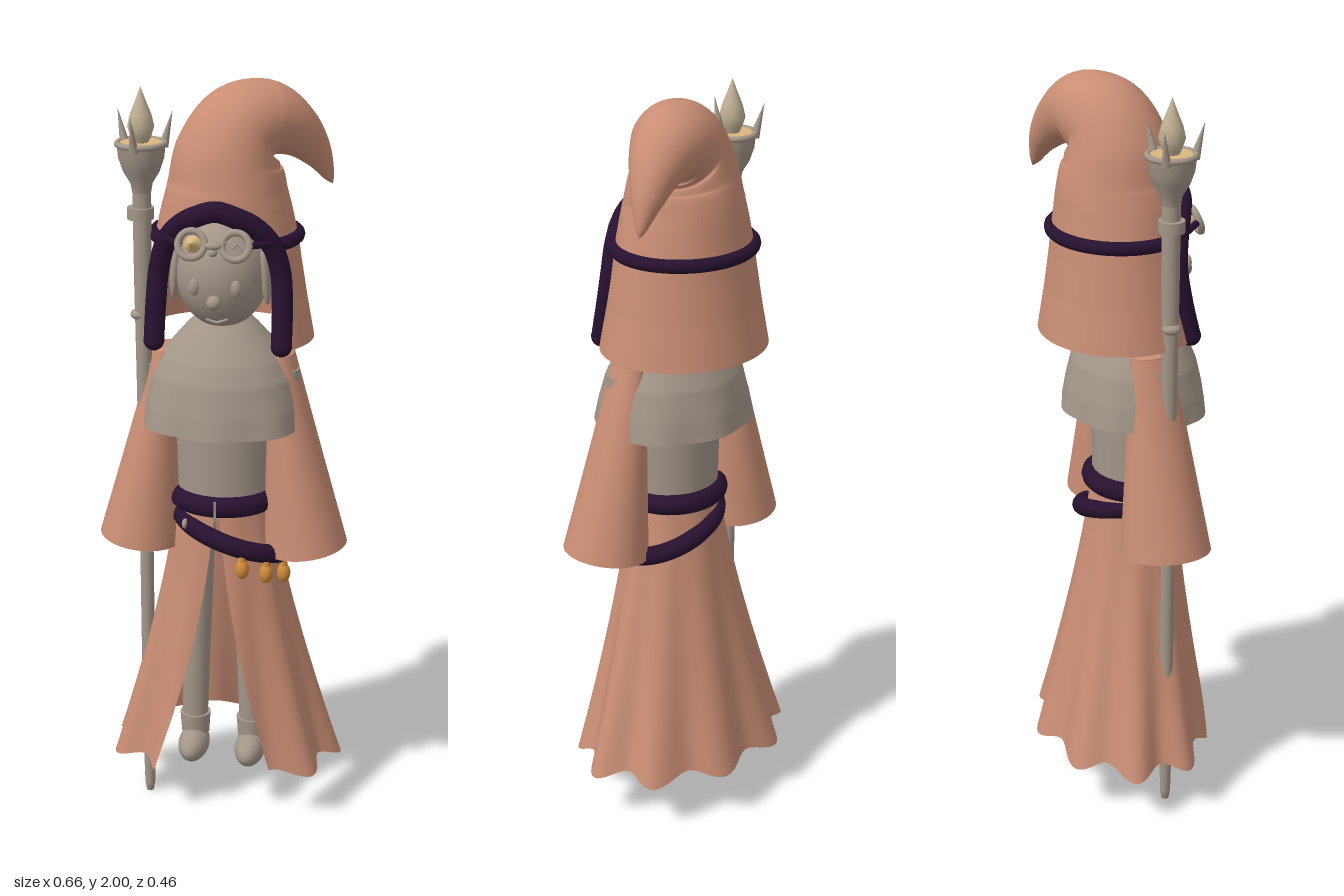
import * as THREE from 'three';
import { ParametricGeometry } from 'three/addons/geometries/ParametricGeometry.js';

const { sin, cos, PI } = Math;
const V = (x, y, z) => new THREE.Vector3(x, y, z);
const mix = THREE.MathUtils.lerp;

export function createModel() {
  const model = new THREE.Group();
  const material = (name, color, side = THREE.DoubleSide) => {
    const m = new THREE.MeshStandardMaterial({ color, side });
    m.name = name;
    return m;
  };
  const cloth = material('terracotta cloth', 0xc98d74);
  const taupe = material('taupe', 0xa39689);
  const purple = material('dark purple trim', 0x271130);
  const orange = material('orange charm', 0xd08a38);
  const gold = material('pale gold', 0xd9b67c);
  const crystalMat = material('pale crystal', 0xbfb094);

  const add = (name, geometry, mat, x = 0, y = 0, z = 0, parent = model) => {
    const mesh = new THREE.Mesh(geometry, mat);
    mesh.name = name;
    mesh.position.set(x, y, z);
    parent.add(mesh);
    return mesh;
  };
  const ball = (name, mat, [x, y, z], [rx, ry, rz]) => {
    const m = add(name, new THREE.SphereGeometry(1, 28, 20), mat, x, y, z);
    m.scale.set(rx, ry, rz);
    return m;
  };
  const rod = (name, mat, r0, r1, h, x, y, z) =>
    add(name, new THREE.CylinderGeometry(r1, r0, h, 24), mat, x, y, z);
  const lathe = (name, mat, pts, x, y, z) =>
    add(name, new THREE.LatheGeometry(pts.map(p => new THREE.Vector2(...p)), 40), mat, x, y, z);
  // Round cord through points, with rounded ends when open
  const cord = (name, mat, pts, r, closed = false, seg = 64) => {
    const curve = new THREE.CatmullRomCurve3(pts, closed);
    add(name, new THREE.TubeGeometry(curve, seg, r, 12, closed), mat);
    if (!closed) for (const p of [pts[0], pts[pts.length - 1]]) ball(name + 'End', mat, p.toArray(), [r, r, r]);
  };
  const surface = (name, mat, fn, nu, nv) =>
    add(name, new ParametricGeometry((u, v, t) => t.copy(fn(u, v)), nu, nv), mat);
  // Piecewise linear lookup: rows of [key, values...]
  const sample = (rows, k) => {
    let i = 0;
    while (i < rows.length - 2 && k > rows[i + 1][0]) i++;
    const a = rows[i], b = rows[i + 1], t = THREE.MathUtils.clamp((k - a[0]) / (b[0] - a[0]), 0, 1);
    return a.slice(1).map((q, j) => mix(q, b[j + 1], t));
  };

  // Hood: [y, rx, rz, half width of face opening]
  const hoodRows = [
    [1.34, 0.228, 0.205, 0.165], [1.45, 0.208, 0.187, 0.163], [1.55, 0.192, 0.174, 0.155],
    [1.61, 0.183, 0.168, 0.135], [1.66, 0.172, 0.162, 0.095], [1.69, 0.165, 0.159, 0.045],
    [1.70, 0.162, 0.158, 0], [1.73, 0.154, 0.154, 0],
  ];
  const hoodPoint = (y, u) => {
    const [rx, rz, open] = sample(hoodRows, y);
    const a0 = Math.asin(open / rx), a = mix(a0, 2 * PI - a0, u);
    return V(rx * sin(a), y, rz * cos(a) - 0.01);
  };
  surface('hood', cloth, (u, v) => hoodPoint(mix(1.34, 1.73, v), u), 64, 39);

  // Bent hat crown, swept along a spine curling to the left and back
  const spine = new THREE.CatmullRomCurve3([
    V(0, 1.73, -0.01), V(0.004, 1.81, -0.012), V(0.035, 1.876, -0.03), V(0.095, 1.893, -0.07),
    V(0.16, 1.86, -0.105), V(0.21, 1.80, -0.135), V(0.252, 1.715, -0.155),
  ]);
  const crownRadii = [[0, 0.154], [1, 0.137], [2, 0.118], [3, 0.1], [4, 0.07], [5, 0.042], [5.8, 0.014], [6, 0.001]];
  const across = V(0.53, 0, 0.85).normalize();
  surface('hatCrown', cloth, (u, v) => {
    const p = spine.getPoint(v), t = spine.getTangent(v);
    if (v < 0.02) t.set(0, 1, 0);
    const b = t.clone().cross(across).normalize();
    const r = sample(crownRadii, v * 6)[0], a = u * 2 * PI;
    return p.addScaledVector(across, r * cos(a)).addScaledVector(b, r * sin(a));
  }, 48, 48);

  // Cord around the face opening and the hat band
  const arch = [1.355, 1.45, 1.54, 1.61, 1.66, 1.685].map(y => hoodPoint(y, 0));
  cord('faceTrim', purple, [...arch, V(0, 1.702, 0.148),
    ...arch.slice().reverse().map(p => V(-p.x, p.y, p.z))], 0.027, false, 96);
  cord('hatBand', purple, Array.from({ length: 25 }, (_, i) => hoodPoint(1.61, i / 24)), 0.018, false, 96);

  // Head and face
  ball('head', taupe, [0, 1.525, 0.05], [0.12, 0.145, 0.125]);
  rod('neck', taupe, 0.065, 0.06, 0.12, 0, 1.4, 0.03);
  ball('nose', taupe, [0, 1.475, 0.175], [0.019, 0.019, 0.019]);
  cord('mouth', taupe, [V(-0.025, 1.418, 0.133), V(0, 1.412, 0.133), V(0.025, 1.42, 0.134)], 0.004, false, 12);
  for (const s of [-1, 1]) {
    ball('eye', taupe, [s * 0.053, 1.51, 0.162], [0.014, 0.022, 0.01]);
    ball('sideLock', taupe, [s * 0.116, 1.53, 0.08], [0.014, 0.08, 0.025]).rotation.z = s * 0.08;
    // Goggles on the brow
    const rim = add('goggleRim', new THREE.TorusGeometry(0.034, 0.009, 12, 36), taupe, s * 0.056, 1.625, 0.18);
    rim.rotation.x = -0.35;
    cord('goggleArm', purple, [V(s * 0.09, 1.625, 0.17), V(s * 0.135, 1.62, 0.125), V(s * 0.17, 1.61, 0.08)], 0.009, false, 16);
  }
  ball('goggleBridge', taupe, [0, 1.625, 0.188], [0.022, 0.01, 0.012]);
  ball('goggleKnob', taupe, [0, 1.608, 0.185], [0.011, 0.011, 0.014]);
  const lens = add('goggleLens', new THREE.ConeGeometry(0.022, 0.03, 20), gold, -0.056, 1.625, 0.175);
  lens.rotation.x = PI / 2 - 0.35;
  cord('lensCrack', taupe, [V(0.03, 1.635, 0.178), V(0.05, 1.62, 0.183), V(0.06, 1.63, 0.18), V(0.082, 1.615, 0.184)], 0.003, false, 16);

  // Shoulder cape
  const capeRows = [[1.12, 0.222], [1.18, 0.21], [1.25, 0.19], [1.3, 0.163], [1.34, 0.13], [1.38, 0.095], [1.42, 0.055]];
  surface('shoulderCape', taupe, (u, v) => {
    const y = mix(1.12, 1.42, v), a = u * 2 * PI;
    const r = sample(capeRows, y)[0] + 0.005 * (1 - v) ** 3 * cos(8 * a);
    return V(r * sin(a), y, r * 0.85 * cos(a) + 0.033);
  }, 64, 24);

  // Torso
  rod('torso', taupe, 0.122, 0.13, 0.36, 0, 1.05, 0.033).scale.z = 0.87;

  // Flared, rippled skirt open at the front
  surface('skirt', cloth, (u, v) => {
    const gap = 0.02 + 0.54 * v, a = mix(gap, 2 * PI - gap, u), f = v ** 1.25;
    const wave = cos(9 * (a - PI) + 0.9), k = 1 + 0.075 * v * wave;
    return V((mix(0.124, 0.3, f) * k) * sin(a), mix(0.92, 0.15, v) - 0.014 * v * wave,
      mix(0.108, 0.222, f) * k * cos(a) + mix(0.033, 0, v));
  }, 110, 24);

  // Legs, boots, sleeves and hands
  for (const s of [-1, 1]) {
    rod('leg', taupe, 0.034, 0.048, 0.7, s * 0.073, 0.57, 0.04).rotation.z = s * 0.02;
    rod('bootCuff', taupe, 0.038, 0.042, 0.06, s * 0.079, 0.225, 0.04);
    ball('bootToe', taupe, [s * 0.079, 0.17, 0.065], [0.042, 0.045, 0.078]);
    surface('sleeve', cloth, (u, v) => {
      const a = u * 2 * PI * s;
      const rx = mix(0.035, 0.11, v), rz = mix(0.055, 0.12, v);
      const dx = rx * cos(a);
      return V(s * (mix(0.15, 0.222, v) + dx), mix(1.31, 0.782, v) + 0.12 * v * dx, mix(0.028, 0.045, v) + rz * sin(a));
    }, 40, 12);
    const shoulder = ball('sleeveTop', cloth, [s * 0.15, 1.308, 0.028], [0.036, 0.008, 0.055]);
    shoulder.rotation.z = s * 0.05;
    rod('arm', taupe, 0.024, 0.035, 0.48, s * 0.185, 1.03, 0.045).rotation.z = s * 0.08;
    ball('hand', taupe, [s * 0.204, 0.775, 0.055], [0.026, 0.033, 0.03]);
  }

  // Waist belt and slanted hip belt
  const ring = (cx, cy, cz, rx, rz, slope) => Array.from({ length: 16 }, (_, i) => {
    const a = i * PI / 8;
    return V(cx + rx * sin(a), cy - slope * rx * sin(a), cz + rz * cos(a));
  });
  cord('waistBelt', purple, ring(0, 0.91, 0.033, 0.12, 0.108, 0), 0.028, true);
  cord('hipBelt', purple, ring(0.033, 0.815, 0.035, 0.148, 0.128, 0.32), 0.025, true);
  add('beltClasp', new THREE.BoxGeometry(0.006, 0.05, 0.006), taupe, 0, 0.91, 0.169);
  ball('hipClasp', taupe, [-0.085, 0.857, 0.14], [0.008, 0.014, 0.014]);

  // Hanging charms
  for (const [x, y, z] of [[0.073, 0.752, 0.17], [0.132, 0.732, 0.142], [0.172, 0.718, 0.097]]) {
    ball('charm', orange, [x, y, z], [0.018, 0.027, 0.018]);
    rod('charmCap', orange, 0.011, 0.008, 0.022, x, y + 0.03, z);
  }

  // Staff with collars, cup, prongs and crystal
  const sx = -0.207, sz = 0.056;
  lathe('staffShaft', taupe, [[0, 0], [0.01, 0.004], [0.014, 0.03], [0.018, 0.2], [0.018, 0.7], [0.02, 1.2],
    [0.023, 1.5], [0.024, 1.74]], sx, 0, sz);
  rod('staffCollar', taupe, 0.034, 0.034, 0.03, sx - 0.004, 1.668, sz);
  ball('staffKnot', taupe, [sx - 0.01, 1.4, sz], [0.024, 0.015, 0.024]);
  lathe('staffCup', taupe, [[0.022, 1.71], [0.028, 1.745], [0.046, 1.775], [0.058, 1.81], [0.062, 1.845]], sx, 0, sz);
  add('cupRim', new THREE.TorusGeometry(0.06, 0.008, 12, 40), taupe, sx, 1.846, sz).rotation.x = PI / 2;
  rod('cupInlay', gold, 0.056, 0.056, 0.008, sx, 1.846, sz);
  lathe('crystal', crystalMat, [[0.014, 1.84], [0.026, 1.865], [0.034, 1.89], [0.027, 1.92], [0.013, 1.955], [0, 1.99]], sx, 0, sz);
  for (const a of [-0.1, 2.05, -2.15]) {
    const at = (r, y) => V(sx + r * sin(a), y, sz + r * cos(a));
    const base = at(0.058, 1.835), tip = at(0.083, 1.925);
    const prong = add('prong', new THREE.ConeGeometry(0.013, base.distanceTo(tip), 14), taupe);
    prong.position.copy(base).lerp(tip, 0.5);
    prong.quaternion.setFromUnitVectors(V(0, 1, 0), tip.sub(base).normalize());
  }

  return model;
}
